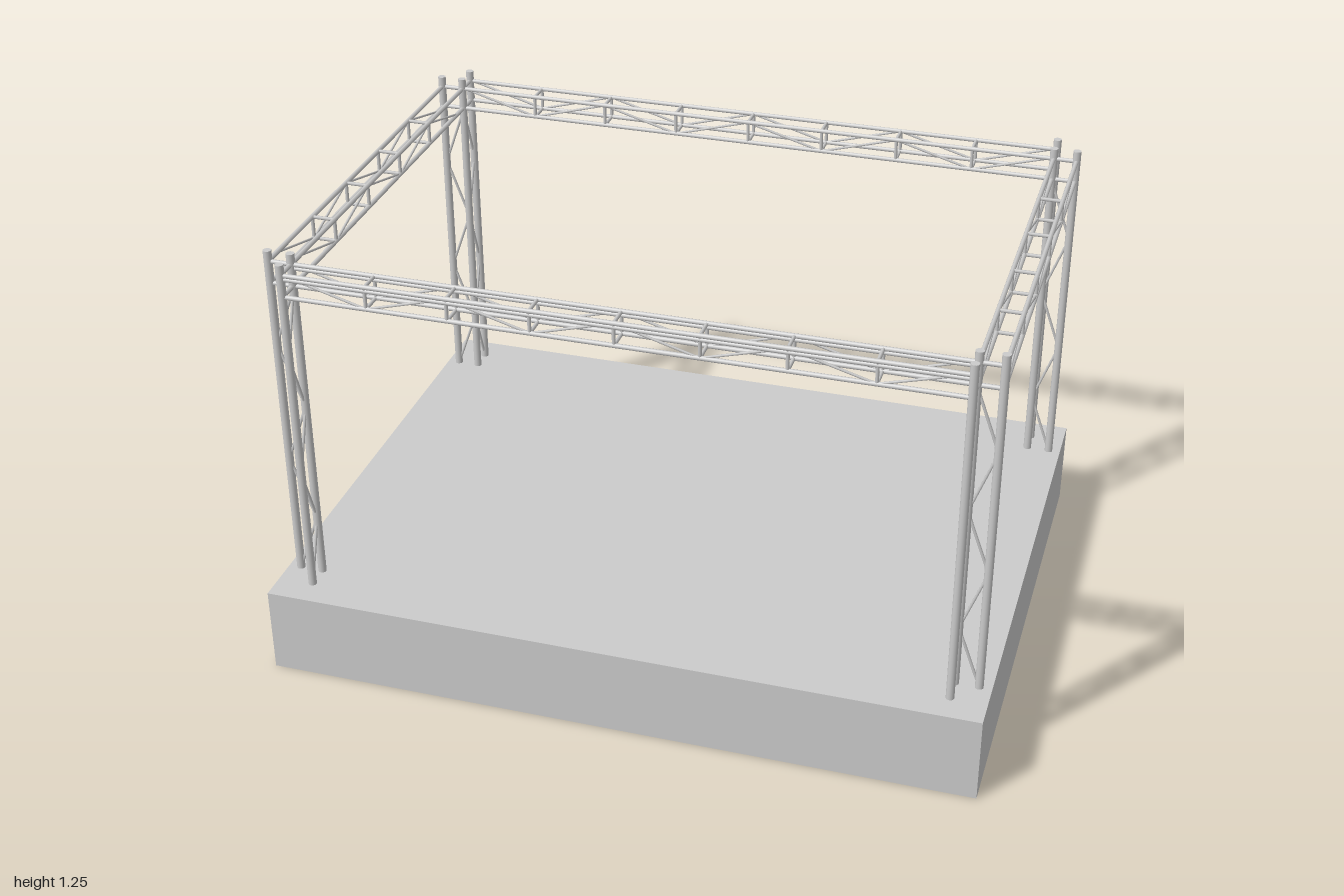
import * as THREE from 'three';

const material = new THREE.MeshStandardMaterial({ color: 0xcccccc });
const UP = new THREE.Vector3(0, 1, 0);

// Outer and inner tube lines of the columns and beams
const X_OUT = 0.965, X_IN = 0.9, Z_OUT = 0.67, Z_IN = 0.605;
const DECK = 0.25, TOP = 1.25, CHORD_LOW = 1.155, CHORD_HIGH = 1.218;

// Straight round tube between two points
function tube(parent, name, a, b, radius, sides = 8) {
  const start = new THREE.Vector3(...a), end = new THREE.Vector3(...b);
  const dir = end.clone().sub(start);
  const mesh = new THREE.Mesh(new THREE.CylinderGeometry(radius, radius, dir.length(), sides), material);
  mesh.position.copy(start).add(end).multiplyScalar(0.5);
  mesh.quaternion.setFromUnitVectors(UP, dir.normalize());
  mesh.name = name;
  parent.add(mesh);
}

// Corner column: three uprights with laced faces on two sides
function column(sx, sz) {
  const g = new THREE.Group();
  g.name = 'column';
  const corner = [sx * X_IN, sz * Z_IN];
  const wings = [[sx * X_OUT, sz * Z_IN], [sx * X_IN, sz * Z_OUT]];
  for (const [x, z] of [corner, ...wings]) tube(g, 'upright', [x, DECK, z], [x, TOP, z], 0.0115, 12);
  const step = 0.18;
  for (const wing of wings) {
    for (let i = 0; i < 5; i++) {
      const [p, q] = i % 2 ? [corner, wing] : [wing, corner];
      const y = DECK + i * step;
      tube(g, 'columnLacing', [p[0], y, p[1]], [q[0], y + step, q[1]], 0.004, 6);
    }
  }
  return g;
}

// Box beam: place(along, y, across) maps beam coordinates to the model
function beam(name, place, inner, outer, innerHalf, outerHalf, panels, phase) {
  const g = new THREE.Group();
  g.name = name;
  const step = 2 / 9, start = -panels * step / 2;
  for (const [across, half] of [[inner, innerHalf], [outer, outerHalf]]) {
    for (const y of [CHORD_LOW, CHORD_HIGH]) tube(g, 'chord', place(-half, y, across), place(half, y, across), 0.0065);
    for (let i = 0; i < panels; i++) {
      const a = start + i * step;
      const down = (i + phase) % 2 === 0;
      tube(g, 'diagonal', place(a, down ? CHORD_HIGH : CHORD_LOW, across),
        place(a + step, down ? CHORD_LOW : CHORD_HIGH, across), 0.0035, 6);
      if (i > 0) tube(g, 'post', place(a, CHORD_LOW, across), place(a, CHORD_HIGH, across), 0.005, 6);
    }
  }
  // Cross bars joining the two faces
  for (let i = 1; i < panels; i++) {
    const a = start + i * step;
    for (const y of [CHORD_LOW, CHORD_HIGH]) tube(g, 'crossBar', place(a, y, inner), place(a, y, outer), 0.005, 6);
  }
  return g;
}

export function createModel() {
  const model = new THREE.Group();
  model.name = 'trussStage';

  const deck = new THREE.Mesh(new THREE.BoxGeometry(2, DECK, 1.5), material);
  deck.position.y = DECK / 2;
  deck.name = 'deck';
  model.add(deck);

  for (const sx of [-1, 1]) for (const sz of [-1, 1]) model.add(column(sx, sz));

  for (const s of [-1, 1]) {
    const end = beam(s > 0 ? 'frontBeam' : 'backBeam', (a, y, c) => [a, y, s * c], Z_IN, Z_OUT, X_OUT, X_IN, 8, 0);
    // Extra rails tucked under the front beam's upper chords
    if (s > 0) {
      for (const z of [Z_IN, Z_OUT]) tube(end, 'underRail', [-X_IN, 1.207, z], [X_IN, 1.207, z], 0.006);
    }
    model.add(end);
    model.add(beam(s > 0 ? 'leftBeam' : 'rightBeam', (a, y, c) => [s * c, y, s * a], X_IN, X_OUT, Z_OUT, Z_IN, 5, 0));
  }
  return model;
}
